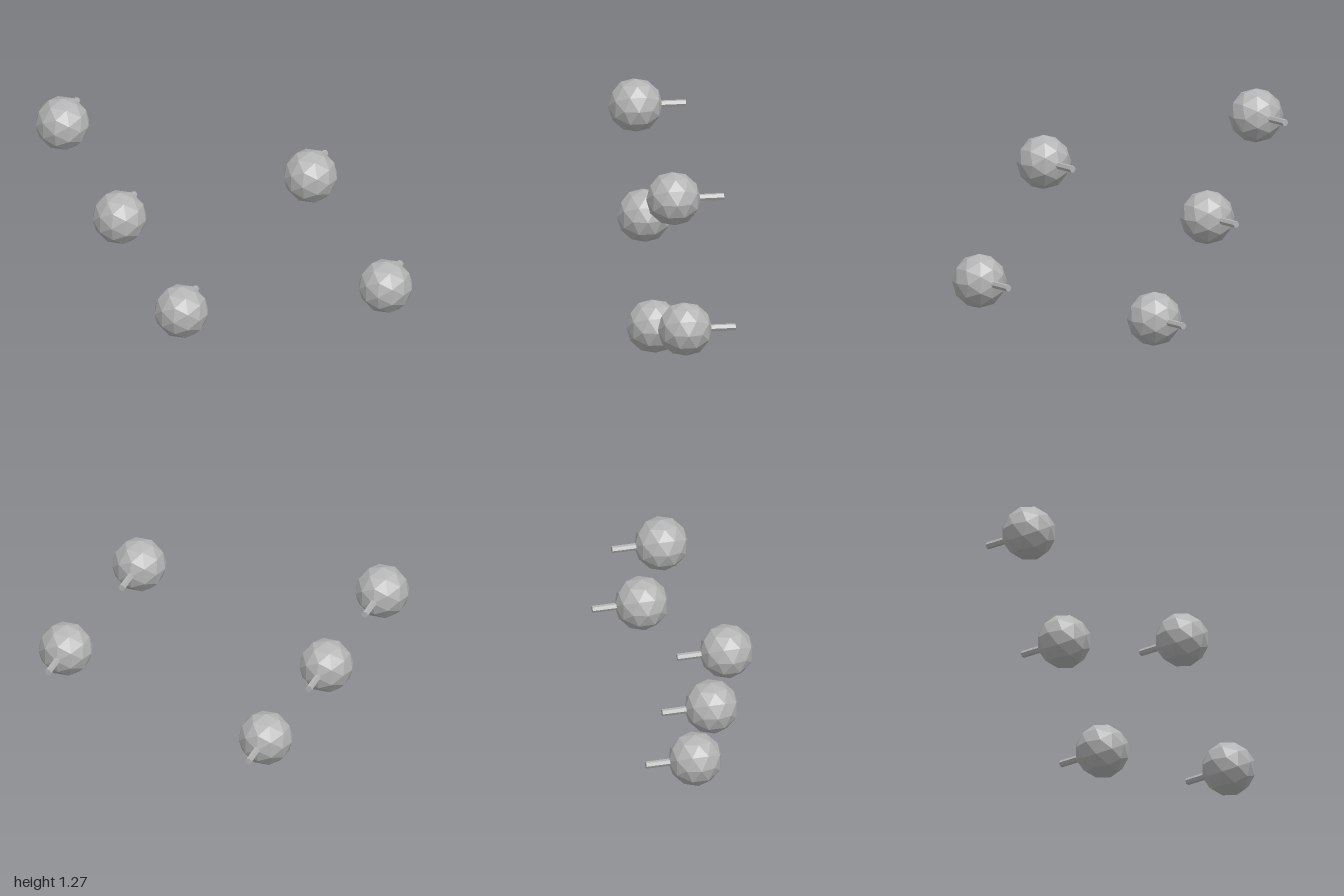
import * as THREE from 'three';

export function createModel() {
  const model = new THREE.Group();
  const grey = new THREE.MeshStandardMaterial({ color: 0xb4b4b4, flatShading: true });
  grey.name = 'grey';

  // faceted ball and six-sided peg, shared by all holds
  const ballGeometry = new THREE.IcosahedronGeometry(0.14, 1);
  const pegGeometry = new THREE.CylinderGeometry(0.0183, 0.0183, 0.2, 6)
    .rotateY(Math.PI / 6) // flat side up
    .rotateX(Math.PI / 2);

  // x, y of each ball
  const positions = [
    [-0.86, 1.132],
    [-0.556, 0.636],
    [-0.227, 0.144],
    [0.46, 1.028],
    [0.86, 0.453],
  ];

  positions.forEach(([x, y], i) => {
    const knob = new THREE.Group();
    knob.name = `knob${i + 1}`;
    knob.position.set(x, y, 0);

    const ball = new THREE.Mesh(ballGeometry, grey);
    ball.name = 'ball';
    ball.position.z = 0.06;

    // peg runs out of the back
    const peg = new THREE.Mesh(pegGeometry, grey);
    peg.name = 'peg';
    peg.position.z = -0.1;

    knob.add(ball, peg);
    model.add(knob);
  });

  return model;
}
